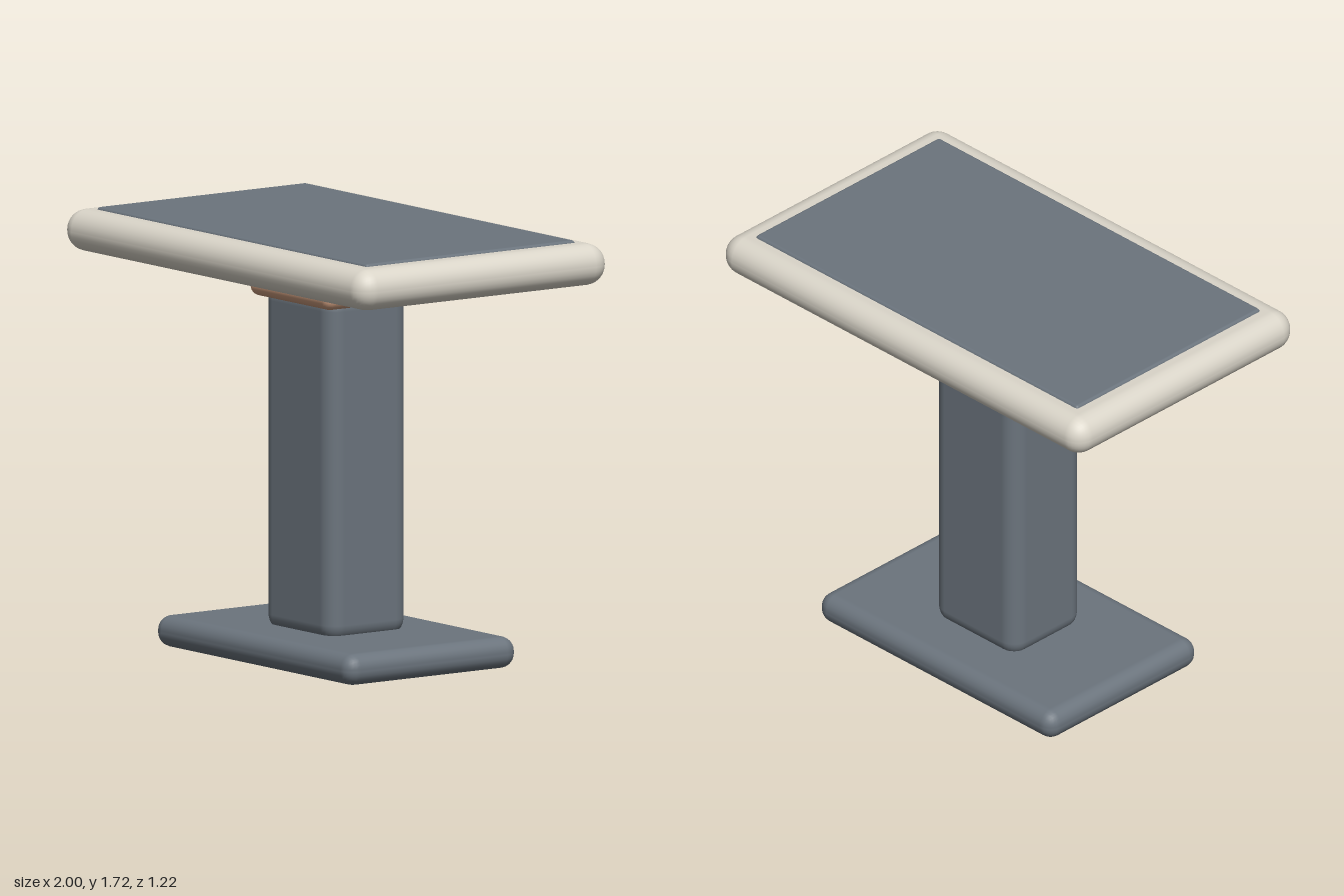
import * as THREE from 'three';
import { RoundedBoxGeometry } from 'three/addons/geometries/RoundedBoxGeometry.js';

const material = (name, color) => {
  const m = new THREE.MeshStandardMaterial({ color });
  m.name = name;
  return m;
};

export function createModel() {
  const slate = material('slate grey', 0x6b747d);
  const cream = material('warm cream', 0xdad5c9);
  const copper = material('copper', 0xcb9b7d);
  const group = new THREE.Group();
  group.name = 'pedestalTable';

  // Rounded block centred on the y axis between heights y0 and y1
  const block = (name, mat, width, depth, y0, y1, radius, segments) => {
    const mesh = new THREE.Mesh(new RoundedBoxGeometry(width, y1 - y0, depth, segments, radius), mat);
    mesh.name = name;
    mesh.position.y = (y0 + y1) / 2;
    group.add(mesh);
  };

  block('base', slate, 1.3, 0.83, 0, 0.125, 0.058, 3);
  block('column', slate, 0.456, 0.39, 0.095, 1.48, 0.07, 4);
  block('collar', copper, 0.536, 0.476, 1.425, 1.525, 0.04, 3);
  block('tableTop', cream, 2, 1.22, 1.545, 1.71, 0.08, 4);
  block('topInset', slate, 1.784, 1.02, 1.69, 1.72, 0.014, 3);

  return group;
}
